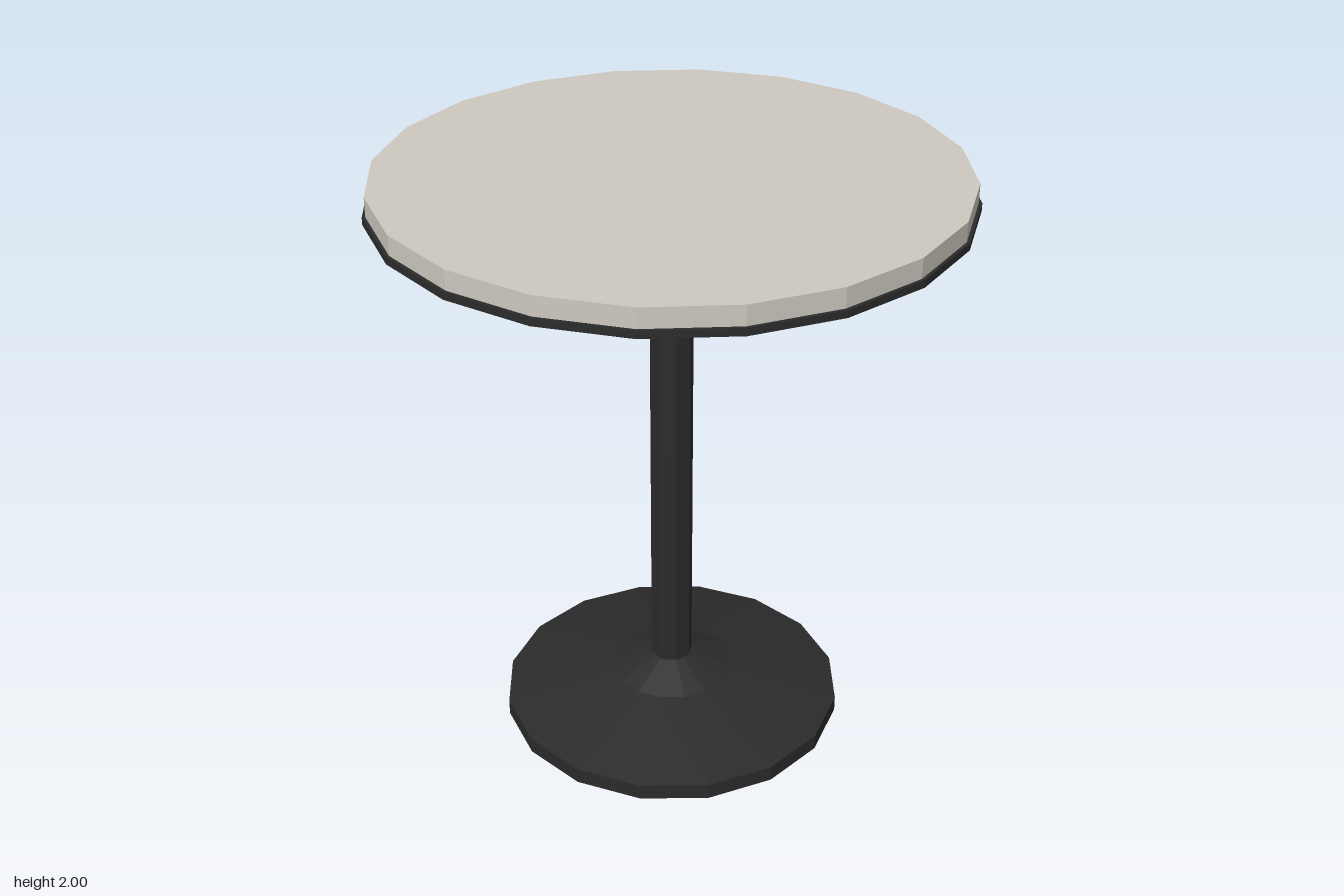
import * as THREE from 'three';

const stone = new THREE.MeshStandardMaterial({ color: 0xcdc9c0 });
stone.name = 'paleStone';
const iron = new THREE.MeshStandardMaterial({ color: 0x2b2b2b });
iron.name = 'darkIron';

// Faceted mesh: every face keeps its own flat normal
function addPart(group, name, geometry, material) {
  const faceted = geometry.toNonIndexed();
  faceted.computeVertexNormals();
  const mesh = new THREE.Mesh(faceted, material);
  mesh.name = name;
  group.add(mesh);
}

// Upright prism between two heights
function disc(radius, y0, y1, sides) {
  return new THREE.CylinderGeometry(radius, radius, y1 - y0, sides).translate(0, (y0 + y1) / 2, 0);
}

export function createModel() {
  const table = new THREE.Group();
  table.name = 'pedestalTable';

  // Weighted foot: short rim, shallow slope, steeper collar
  const profile = [[0, 0], [0.587, 0], [0.587, 0.055], [0.21, 0.135], [0.072, 0.193], [0, 0.193]]
    .map(([r, y]) => new THREE.Vector2(r, y));
  addPart(table, 'base', new THREE.LatheGeometry(profile, 16), iron);

  // Column
  addPart(table, 'column', disc(0.072, 0.18, 1.915, 8), iron);

  // Tabletop on a slightly wider backing plate
  addPart(table, 'backingPlate', disc(0.946, 1.912, 1.936, 20), iron);
  addPart(table, 'tabletop', disc(0.935, 1.936, 2, 20), stone);

  return table;
}
